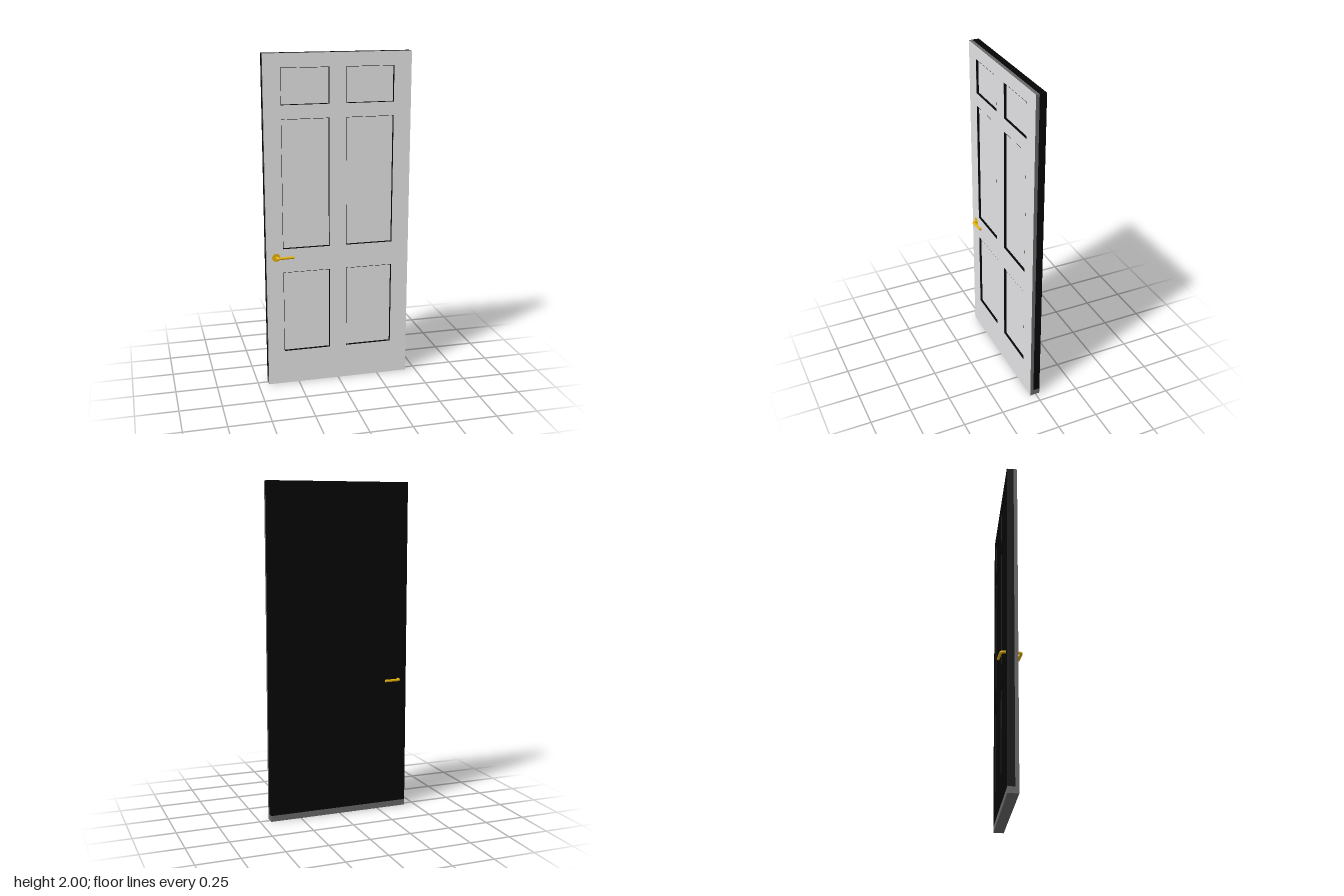
import * as THREE from 'three';

const HALF_W = 0.437, TOP = 2, SILL = 0.036;
const FRONT = 0.036, MID = 0.015, BACK = -0.026;

export function createModel() {
  const mat = (name, color) =>
    Object.assign(new THREE.MeshStandardMaterial({ color }), { name });
  const face = mat('lightGrey', 0xe3e3e5);
  const edge = mat('darkGrey', 0x696969);
  const black = mat('black', 0x050505);
  const gold = mat('gold', 0xe8b40c);

  const door = new THREE.Group();
  door.name = 'door';
  const add = (name, geometry, material, x = 0, y = 0, z = 0) => {
    const mesh = new THREE.Mesh(geometry, material);
    mesh.name = name;
    mesh.position.set(x, y, z);
    door.add(mesh);
    return mesh;
  };

  // Six panels: two columns, three rows
  const panels = [];
  for (const [x0, x1] of [[-0.337, -0.053], [0.048, 0.333]])
    for (const [y0, y1] of [[0.21, 0.715], [0.86, 1.63], [1.71, 1.92]])
      panels.push([x0, x1, y0, y1]);

  const rect = (Type, x0, x1, y0, y1) => new Type([
    new THREE.Vector2(x0, y0), new THREE.Vector2(x1, y0),
    new THREE.Vector2(x1, y1), new THREE.Vector2(x0, y1),
  ]);
  // Rectangle with openings, extruded between two depths
  const frame = (name, outline, openings, z0, z1, materials) => {
    const shape = rect(THREE.Shape, ...outline);
    shape.holes = openings.map((o) => rect(THREE.Path, ...o));
    const geometry = new THREE.ExtrudeGeometry(shape, { depth: z1 - z0, bevelEnabled: false });
    add(name, geometry, materials, 0, 0, z0);
  };

  // Light front leaf, black back leaf and the grey sill below it
  frame('frontFrame', [-HALF_W, HALF_W, 0, TOP], panels, MID, FRONT, [face, edge]);
  frame('backFrame', [-HALF_W, HALF_W, SILL, TOP], panels, BACK, MID, black);
  add('sill', new THREE.BoxGeometry(HALF_W * 2, SILL, MID - BACK), edge, 0, SILL / 2, (MID + BACK) / 2);

  // Recessed panels on both sides, with a dark lining around the front ones
  const lip = 0.0025;
  for (const [x0, x1, y0, y1] of panels) {
    const sheet = () => new THREE.PlaneGeometry(x1 - x0, y1 - y0);
    const x = (x0 + x1) / 2, y = (y0 + y1) / 2;
    add('frontPanel', sheet(), face, x, y, FRONT - 0.014);
    add('backPanel', sheet(), black, x, y, BACK + 0.006).rotation.y = Math.PI;
    frame('panelLining', [x0, x1, y0, y1], [[x0 + lip, x1 - lip, y0 + lip, y1 - lip]],
      FRONT - 0.015, FRONT - 0.001, black);
  }

  // Lever handles, bent from round bar
  const lever = (name, points) => {
    const y = 0.81, r = 0.008;
    const [a, corner, b] = points.map(([x, z]) => new THREE.Vector3(x, y, z));
    const bendStart = corner.clone().lerp(a, 0.5);
    const bendEnd = corner.clone().lerp(b, 0.14);
    const path = new THREE.CurvePath();
    path.add(new THREE.LineCurve3(a, bendStart));
    path.add(new THREE.QuadraticBezierCurve3(bendStart, corner, bendEnd));
    path.add(new THREE.LineCurve3(bendEnd, b));
    add(name, new THREE.TubeGeometry(path, 40, r, 12), gold);
    // Flat end of the bar
    const cap = add(name + 'End', new THREE.CircleGeometry(r, 12), gold, b.x, b.y, b.z);
    cap.lookAt(b.clone().multiplyScalar(2).sub(corner));
  };
  lever('frontHandle', [[-0.375, 0.034], [-0.375, 0.061], [-0.275, 0.052]]);
  lever('backHandle', [[-0.382, -0.024], [-0.382, -0.054], [-0.285, -0.061]]);

  // Thin round rose plate behind the front lever
  const rose = add('rosePlate', new THREE.CylinderGeometry(0.025, 0.025, 0.002, 24), gold, -0.378, 0.81, FRONT);
  rose.rotation.x = Math.PI / 2;

  return door;
}
